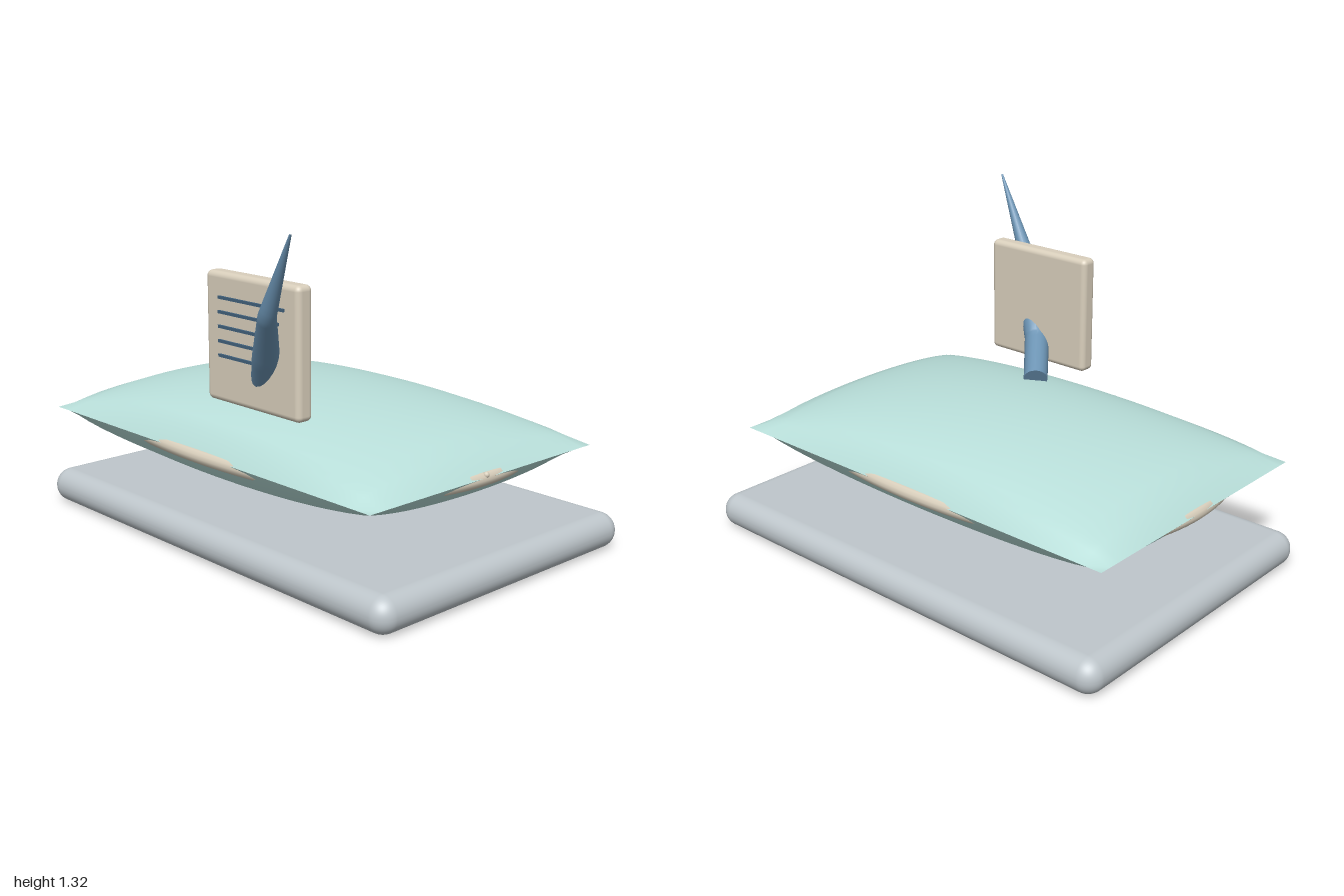
import * as THREE from 'three';
import { RoundedBoxGeometry } from 'three/addons/geometries/RoundedBoxGeometry.js';

const material = (name, color) => {
  const m = new THREE.MeshStandardMaterial({ color });
  m.name = name;
  return m;
};

export function createModel() {
  const grey = material('pale grey', 0xbec6cb);
  const teal = material('soft teal', 0xb9dfda);
  const cream = material('cream', 0xd9cfbc);
  const blue = material('quill blue', 0x6b93b3);
  const ink = material('ink blue', 0x41617c);

  const model = new THREE.Group();
  const add = (name, geometry, mat, x = 0, y = 0, z = 0) => {
    const mesh = new THREE.Mesh(geometry, mat);
    mesh.name = name;
    mesh.position.set(x, y, z);
    model.add(mesh);
    return mesh;
  };

  // Rounded slab underneath
  add('baseSlab', new RoundedBoxGeometry(2, 0.142, 1.325, 6, 0.07), grey, 0, 0.071, -0.0425);

  // Pillow: two puffed sheets meeting at a sharp rim
  const halfX = 0.925, halfZ = 0.59, rimY = 0.425, pillowZ = 0.02;
  const puff = (t) => Math.sqrt(Math.max(0, 1 - t * t));
  for (const side of [1, -1]) {
    const g = new THREE.PlaneGeometry(halfX * 2, halfZ * 2, 24, 24);
    g.rotateX(-side * Math.PI / 2);
    const p = g.attributes.position;
    for (let i = 0; i < p.count; i++) {
      p.setY(i, side * 0.195 * puff(p.getX(i) / halfX) * puff(p.getZ(i) / halfZ));
    }
    g.computeVertexNormals();
    add(side > 0 ? 'pillowTop' : 'pillowBottom', g, teal, 0, rimY, pillowZ);
  }

  // Bowed trim rolls on the four edges of the pillow
  const trim = (name, reach, halfLength, bow, angle) => {
    const curve = new THREE.QuadraticBezierCurve3(
      new THREE.Vector3(-halfLength, 0, reach - bow),
      new THREE.Vector3(0, 0, reach + bow),
      new THREE.Vector3(halfLength, 0, reach - bow));
    const mesh = add(name, new THREE.TubeGeometry(curve, 24, 0.028, 12), cream, 0, 0.416, pillowZ);
    mesh.rotation.y = angle;
  };
  trim('frontTrim', 0.573, 0.4, 0.032, 0);
  trim('backTrim', 0.573, 0.4, 0.032, Math.PI);
  trim('leftTrim', 0.9, 0.22, 0.03, Math.PI / 2);
  trim('rightTrim', 0.9, 0.22, 0.03, -Math.PI / 2);
  add('trimButton', new THREE.SphereGeometry(0.012, 10, 8), cream, 0.918, 0.434, 0.025);

  // Upright note panel with ruled lines
  add('notePanel', new RoundedBoxGeometry(0.51, 0.487, 0.072, 4, 0.022), cream, 0.225, 0.8625, 0.482);
  [0.41, 0.38, 0.35, 0.3, 0.28].forEach((end, i) => {
    const length = end - 0.05;
    add('noteLine' + (i + 1), new THREE.BoxGeometry(length, 0.011, 0.009), ink,
      0.05 + length / 2, 1.014 - i * 0.054, 0.522);
  });

  // Tapered quill passing through the panel
  const path = new THREE.CurvePath();
  const points = [[0.1, 0.605, 0.295], [0.23, 0.71, 0.455], [0.465, 1.02, 0.645], [0.65, 1.32, 0.703]]
    .map((p) => new THREE.Vector3(...p));
  for (let i = 0; i < 3; i++) path.add(new THREE.LineCurve3(points[i], points[i + 1]));
  const rings = 40, sides = 20;
  const quill = new THREE.TubeGeometry(path, rings, 1, sides);
  const radii = [[0, 0.05], [0.25, 0.052], [0.4, 0.05], [0.66, 0.032], [1, 0.004]];
  const radiusAt = (t) => {
    const k = Math.max(1, radii.findIndex((r) => r[0] >= t));
    const [a, b] = [radii[k - 1], radii[k]];
    return THREE.MathUtils.mapLinear(t, a[0], b[0], a[1], b[1]);
  };
  const pos = quill.attributes.position, v = new THREE.Vector3();
  for (let i = 0; i < pos.count; i++) {
    const t = Math.floor(i / (sides + 1)) / rings;
    const c = path.getPointAt(t);
    v.fromBufferAttribute(pos, i).sub(c).multiplyScalar(radiusAt(t)).add(c);
    pos.setXYZ(i, v.x, v.y, v.z);
  }
  quill.computeVertexNormals();
  add('quill', quill, blue);
  const cap = add('quillEnd', new THREE.CircleGeometry(0.05, sides), blue, ...points[0].toArray());
  cap.lookAt(points[0].clone().multiplyScalar(2).sub(points[1]));

  return model;
}
